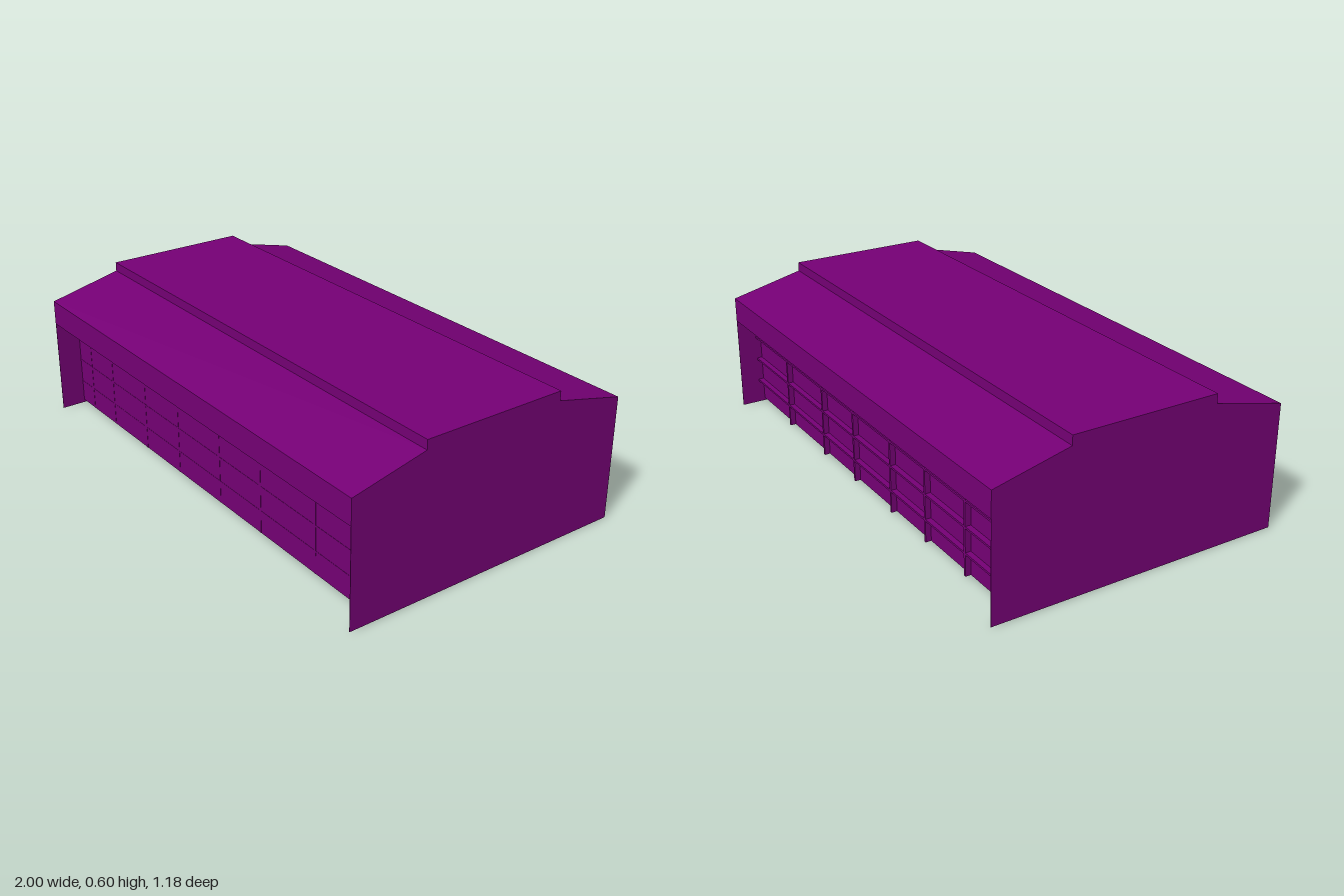
import * as THREE from 'three';

const material = new THREE.MeshStandardMaterial({ color: 0x750075, flatShading: true });

// Extrudes a closed (z, y) profile along x, centred on the given x
function extrudeProfile(points, length, x = 0) {
  const shape = new THREE.Shape(points.map(([z, y]) => new THREE.Vector2(z, y)));
  const geometry = new THREE.ExtrudeGeometry(shape, { depth: length, bevelEnabled: false });
  return geometry.translate(0, 0, -length / 2).rotateY(-Math.PI / 2).translate(x, 0, 0);
}

// Adds the z-mirrored half of a profile in continuing order
const withMirror = (half) => [...half, ...half.map(([z, y]) => [-z, y]).reverse()];

export function createModel() {
  const group = new THREE.Group();
  const add = (name, geometry, x = 0, y = 0, z = 0, parent = group) => {
    const mesh = new THREE.Mesh(geometry, material);
    mesh.name = name;
    mesh.position.set(x, y, z);
    parent.add(mesh);
  };
  const box = (w, h, d) => new THREE.BoxGeometry(w, h, d);

  // Sheet end walls with the stepped roof outline
  const gable = withMirror([[0.592, 0], [0.592, 0.49], [0.295, 0.56], [0.295, 0.597]]);
  for (const side of [-1, 1]) add('endWall', extrudeProfile(gable, 0.002, side * 0.999));

  // Thin roof sheet with fascias, flat soffits and a raised centre, hollow underneath
  const outer = withMirror([[0.488, 0.39], [0.592, 0.39], [0.592, 0.49], [0.295, 0.56], [0.295, 0.597]]);
  const inner = withMirror([[0.488, 0.393], [0.589, 0.393], [0.589, 0.487], [0.292, 0.557], [0.292, 0.594]]);
  add('roof', extrudeProfile([...outer, ...inner.reverse()], 1.996));

  // Long walls, set back below the eaves
  const bottom = 0.012;
  const height = 0.39 - bottom;
  const middle = bottom + height / 2;
  add('frontWall', box(1.996, height, 0.004), 0, middle, 0.49);
  add('backWall', box(1.996, height, 0.004), 0, middle, -0.49);

  // Slim posts and rails: flush at the front, proud fins at the back
  const posts = [0.68, 0.355, 0.09, -0.2, -0.45, -0.715, -0.9];
  const rails = [0.1, 0.2, 0.3];
  for (const [name, z, depth] of [['frontFrame', 0.49, 0.006], ['backFrame', -0.502, 0.024]]) {
    const frame = new THREE.Group();
    frame.name = name;
    for (const x of posts) add('post', box(0.01, height, depth), x, middle, z, frame);
    for (const y of rails) add('rail', box(1.996, 0.008, depth), 0, y, z, frame);
    group.add(frame);
  }
  return group;
}
